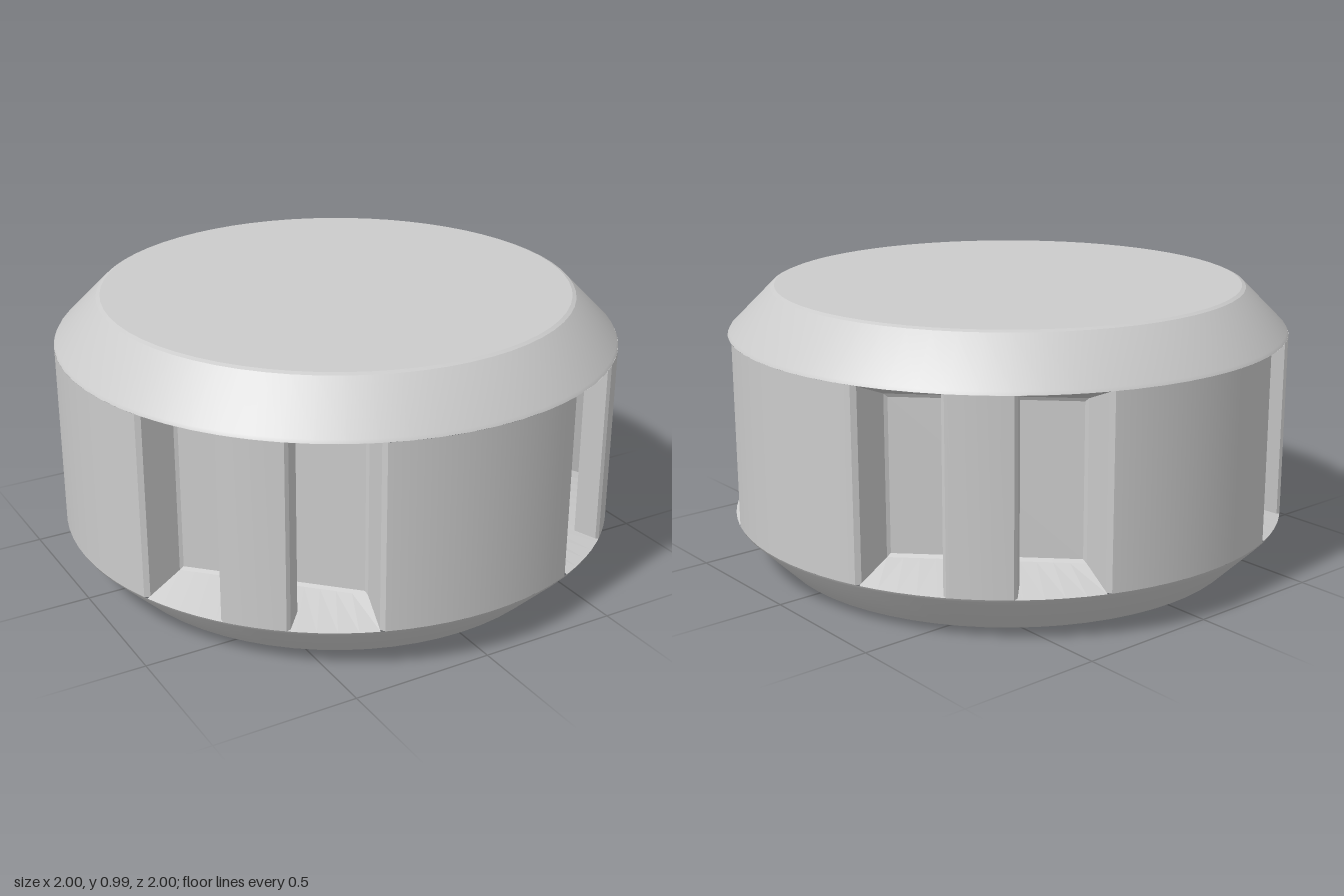
import * as THREE from 'three';
import { toCreasedNormals } from 'three/addons/utils/BufferGeometryUtils.js';

const LOW = 0.165, HIGH = 0.825, TOP = 0.99;
const RECESS = THREE.MathUtils.degToRad(23.3); // half angle of each side recess
const POST = THREE.MathUtils.degToRad(6.7);    // half angle of the post dividing it
const BEVEL = 0.015;

const smooth = new THREE.MeshStandardMaterial({ color: 0xcccccc });
const flat = new THREE.MeshStandardMaterial({ color: 0xcccccc, flatShading: true, side: THREE.DoubleSide });

function add(parent, name, geometry, material) {
  const mesh = new THREE.Mesh(geometry, material);
  mesh.name = name;
  parent.add(mesh);
  return mesh;
}

// Surface through rows of points, all rows the same length
function patch(rows) {
  const n = rows[0].length, index = [];
  for (let r = 0; r < rows.length - 1; r++) {
    for (let i = 0; i < n - 1; i++) {
      const a = r * n + i, b = a + n;
      index.push(a, a + 1, b, a + 1, b + 1, b);
    }
  }
  const g = new THREE.BufferGeometry();
  g.setAttribute('position', new THREE.Float32BufferAttribute(rows.flat(2), 3));
  g.setIndex(index);
  g.computeVertexNormals();
  return g;
}

function lathe(profile) {
  const g = new THREE.LatheGeometry(profile.map(p => new THREE.Vector2(...p)), 64);
  return toCreasedNormals(g, 0.3);
}

// Row along the curved mouth of a recess
function arcRow(y, n) {
  return Array.from({ length: n + 1 }, (_, i) => {
    const a = RECESS * (2 * i / n - 1);
    return [Math.sin(a), y, Math.cos(a)];
  });
}

function lineRow(y, halfWidth, z, n) {
  return Array.from({ length: n + 1 }, (_, i) => [halfWidth * (2 * i / n - 1), y, z]);
}

// Tapered recess with a flat back panel, facing +z
function makeRecess() {
  const g = new THREE.Group();
  g.name = 'sideRecess';
  const n = 12, y0 = 0.22, y1 = TOP - y0, w = 0.324, d = 0.8;
  const b0 = y0 + 0.012, b1 = y1 - 0.012, bw = w - 0.012, bd = d - 0.006;

  add(g, 'recessFloor', patch([arcRow(LOW, n), lineRow(y0, w, d, n), lineRow(b0, bw, bd, n)]), flat);
  add(g, 'recessCeiling', patch([arcRow(HIGH, n), lineRow(y1, w, d, n), lineRow(b1, bw, bd, n)]), flat);
  add(g, 'backPanel', patch([lineRow(b0, bw, bd, 1), lineRow(b1, bw, bd, 1)]), flat);

  // Side walls, with a narrow bevel at the mouth
  for (const s of [-1, 1]) {
    const a = RECESS + BEVEL, x = Math.sin(RECESS), z = Math.cos(RECESS);
    const column = (lo, hi, px, pz) => [[s * px, lo, pz], [s * px, hi, pz]];
    add(g, 'recessSide', patch([
      column(LOW, HIGH, Math.sin(a), Math.cos(a)),
      column(LOW, HIGH, x - 0.006, z - 0.012),
      column(y0, y1, w, d),
      column(b0, b1, bw, bd),
    ]), flat);
  }

  // Free-standing post in the middle of the mouth
  const half = Math.sin(POST), back = 0.908, shape = new THREE.Shape();
  shape.moveTo(-half, -back);
  shape.lineTo(half, -back);
  shape.lineTo(half, -Math.cos(POST) + 0.01);
  for (let i = 0; i <= 4; i++) {
    const a = (POST - 0.01) * (1 - i / 2);
    shape.lineTo(Math.sin(a), -Math.cos(a));
  }
  shape.lineTo(-half, -Math.cos(POST) + 0.01);
  shape.closePath();
  const post = new THREE.ExtrudeGeometry(shape, { depth: HIGH - LOW, bevelEnabled: false });
  post.rotateX(-Math.PI / 2);
  post.translate(0, LOW, 0);
  add(g, 'dividingPost', toCreasedNormals(post, 0.3), smooth);
  return g;
}

export function createModel() {
  const model = new THREE.Group();
  model.name = 'slottedDrum';

  // Chamfered lower and upper caps
  const chamfer = [[0, 0], [0.832, 0], [0.846, 0.006], [0.994, 0.154], [1, LOW]];
  add(model, 'lowerCap', lathe(chamfer), smooth);
  add(model, 'upperCap', lathe(chamfer.map(([r, y]) => [r, TOP - y]).reverse()), smooth);

  // Four broad walls alternate with four recesses
  const wallHalf = Math.PI / 4 - RECESS - BEVEL;
  for (let i = 0; i < 4; i++) {
    const angle = i * Math.PI / 2;
    const wall = add(model, 'outerWall',
      new THREE.CylinderGeometry(1, 1, HIGH - LOW, 10, 1, true, angle - wallHalf, 2 * wallHalf), smooth);
    wall.position.y = TOP / 2;
    const recess = makeRecess();
    recess.rotation.y = angle + Math.PI / 4;
    model.add(recess);
  }
  return model;
}
